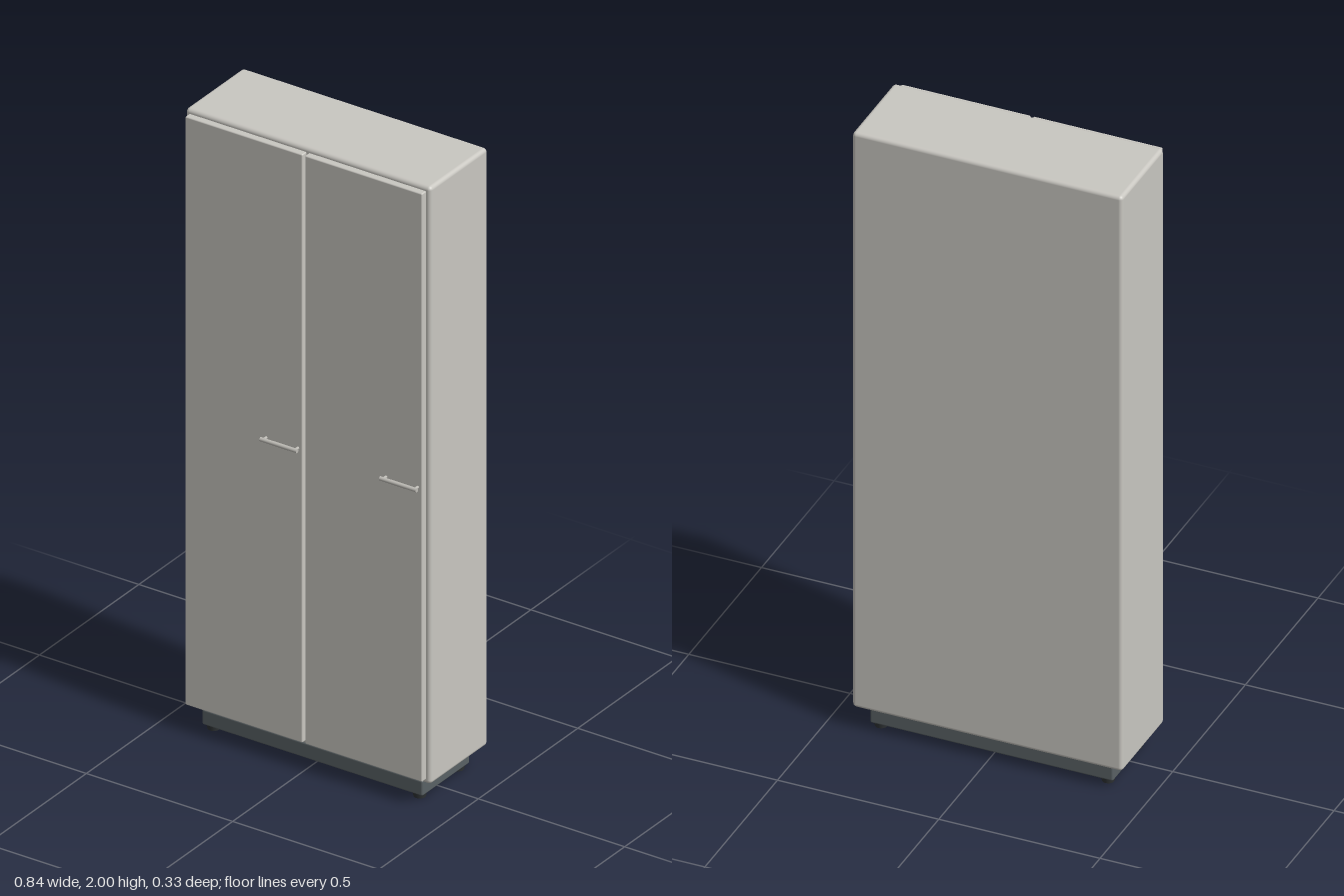
import * as THREE from 'three';
import { RoundedBoxGeometry } from 'three/addons/geometries/RoundedBoxGeometry.js';

const mat = (name, color) => {
  const m = new THREE.MeshStandardMaterial({ color });
  m.name = name;
  return m;
};

export function createModel() {
  const group = new THREE.Group();
  const paint = mat('warm grey paint', 0xc9c7c1);
  const metal = mat('handle metal', 0xbdbbb5);
  const dark = mat('dark plinth grey', 0x596164);
  const rubber = mat('foot rubber', 0x303436);

  const add = (name, geometry, material, x, y, z, parent = group) => {
    const mesh = new THREE.Mesh(geometry, material);
    mesh.name = name;
    mesh.position.set(x, y, z);
    parent.add(mesh);
    return mesh;
  };
  // Rounded box given by its limits on each axis
  const block = (name, [x0, x1], [y0, y1], [z0, z1], r, material) =>
    add(name, new RoundedBoxGeometry(x1 - x0, y1 - y0, z1 - z0, 3, r), material,
      (x0 + x1) / 2, (y0 + y1) / 2, (z0 + z1) / 2);

  // Cabinet carcass
  block('cabinetBody', [-0.419, 0.419], [0.073, 2], [-0.168, 0.121], 0.012, paint);

  // Two doors, each with a horizontal bar handle near its +x edge
  const bar = new THREE.CylinderGeometry(0.0065, 0.0065, 0.126, 16).rotateZ(Math.PI / 2);
  const post = new THREE.CylinderGeometry(0.0045, 0.0045, 0.018, 12).rotateX(Math.PI / 2);
  for (const [side, x0] of [['right', -0.406], ['left', 0.003]]) {
    block(side + 'Door', [x0, x0 + 0.401], [0.088, 1.986], [0.119, 0.142], 0.004, paint);
    const handle = new THREE.Group();
    handle.name = side + 'Handle';
    handle.position.set(x0 + 0.332, 1.036, 0.159);
    add('handleBar', bar, metal, 0, 0, 0, handle);
    for (const s of [-1, 1]) add('handlePost', post, metal, s * 0.054, 0, -0.01, handle);
    group.add(handle);
  }

  // Recessed plinth with a slimmer neck under the carcass
  block('plinth', [-0.377, 0.377], [0.014, 0.064], [-0.138, 0.1], 0.006, dark);
  block('plinthNeck', [-0.368, 0.368], [0.05, 0.08], [-0.129, 0.091], 0.004, dark);

  // Round levelling feet
  const foot = new THREE.CylinderGeometry(0.022, 0.018, 0.02, 20);
  for (const x of [-0.352, 0.352])
    for (const z of [-0.115, 0.077]) add('foot', foot, rubber, x, 0.01, z);

  return group;
}
